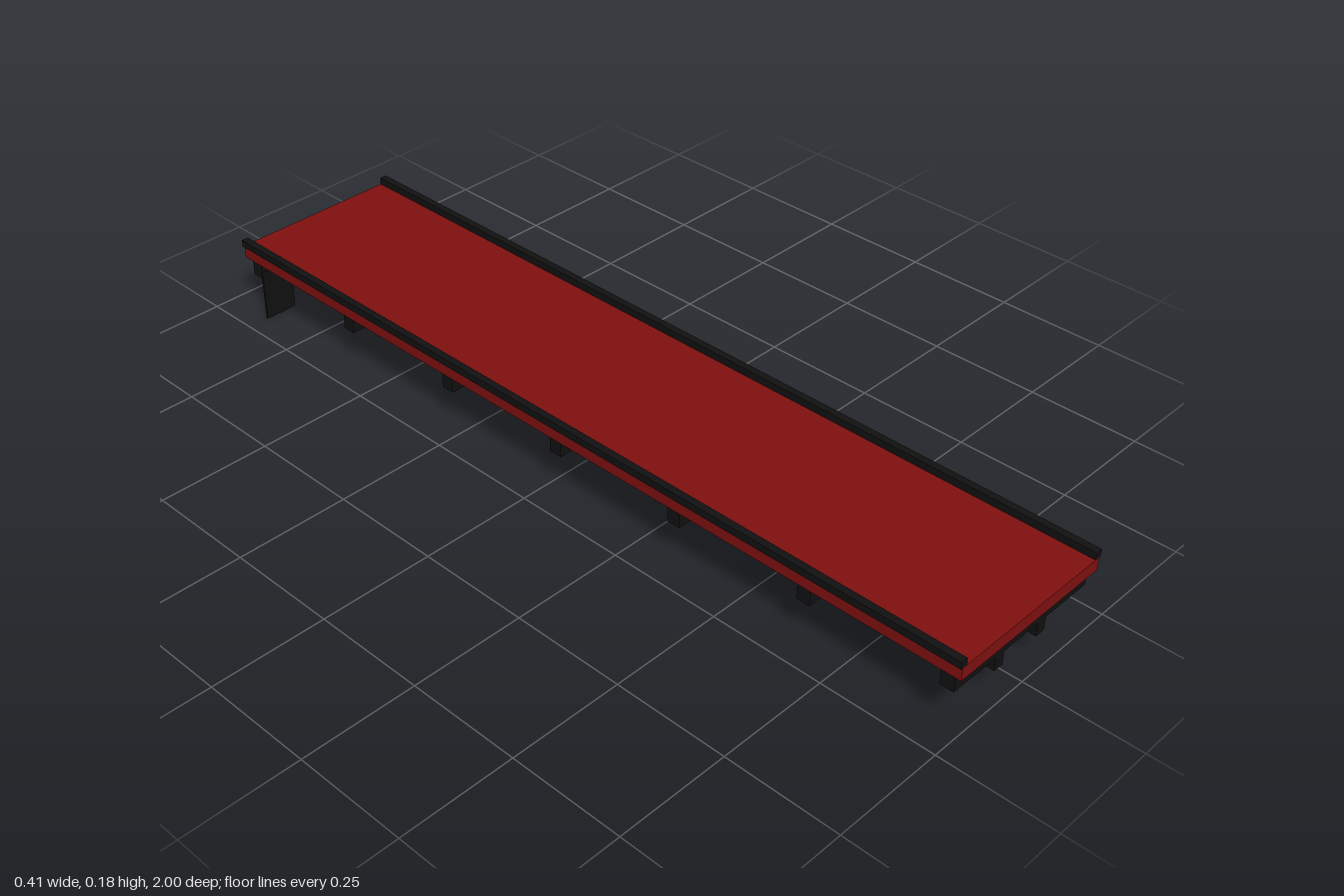
import * as THREE from 'three';

export function createModel() {
  const model = new THREE.Group();
  const red = new THREE.MeshStandardMaterial({ color: 0x801010 });
  const black = new THREE.MeshStandardMaterial({ color: 0x111111 });

  // Box given by its extents on each axis
  function box(name, material, [x0, x1], [y0, y1], [z0, z1]) {
    const mesh = new THREE.Mesh(new THREE.BoxGeometry(x1 - x0, y1 - y0, z1 - z0), material);
    mesh.position.set((x0 + x1) / 2, (y0 + y1) / 2, (z0 + z1) / 2);
    mesh.name = name;
    model.add(mesh);
  }
  // Same box on both sides of the centre line
  function pair(name, material, [x0, x1], y, z) {
    box('left' + name, material, [x0, x1], y, z);
    box('right' + name, material, [-x1, -x0], y, z);
  }

  // Flat deck with low side rails
  box('deck', red, [-0.2, 0.2], [0.134, 0.163], [-0.937, 1]);
  pair('SideRail', black, [0.189, 0.205], [0.163, 0.179], [-0.937, 1]);

  // Lamp blocks on the rear edge
  pair('RearLamp', red, [0.14, 0.19], [0.138, 0.159], [-0.943, -0.937]);

  // Chassis: two long beams carrying seven cross members
  pair('ChassisBeam', black, [0.05, 0.074], [0.064, 0.134], [-0.92, 0.985]);
  for (let i = 0; i < 7; i++) {
    const z = 0.97 - i * 0.3125;
    box('crossMember' + (i + 1), black, [-0.194, 0.194], [0.095, 0.134], [z - 0.015, z + 0.015]);
  }

  // Thin mud flaps near the rear
  pair('MudFlap', black, [0.125, 0.201], [0, 0.117], [-0.883, -0.878]);

  // Rear coupling block
  box('coupling', black, [-0.023, 0.023], [0.08, 0.102], [-1, -0.937]);

  return model;
}
